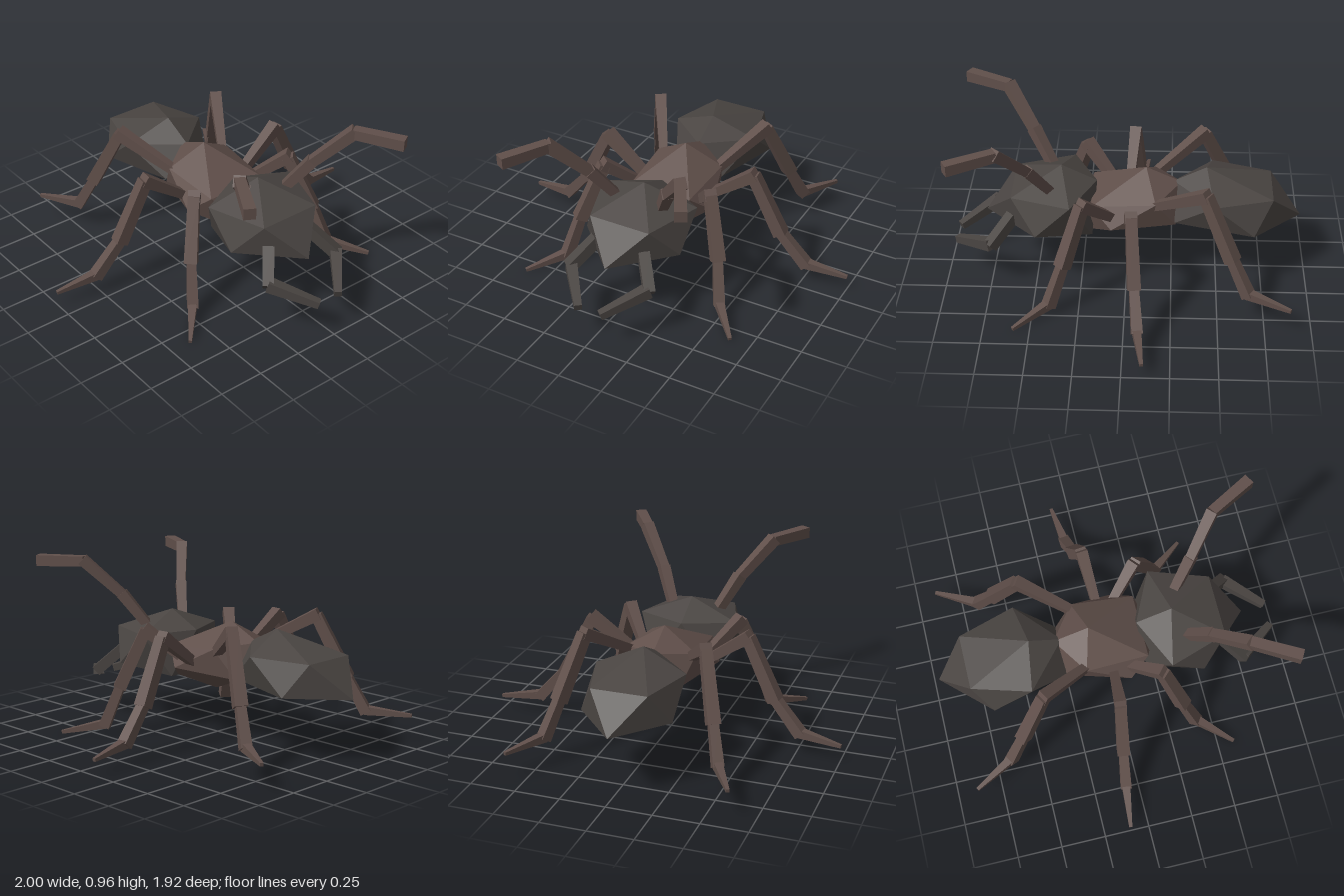
import * as THREE from 'three';
import { ConvexGeometry } from 'three/addons/geometries/ConvexGeometry.js';

const V = (p) => new THREE.Vector3(...p);
const dark = new THREE.MeshStandardMaterial({ color: 0x4a4542, flatShading: true });
const brown = new THREE.MeshStandardMaterial({ color: 0x604f4a, flatShading: true });

// Faceted body lump: points with x > 0 are mirrored to the other side
function lump(name, points, material) {
  const all = [];
  for (const [x, y, z] of points) {
    all.push(V([x, y, z]));
    if (x > 0) all.push(V([-x, y, z]));
  }
  const mesh = new THREE.Mesh(new ConvexGeometry(all), material);
  mesh.name = name;
  return mesh;
}

// Tapered square bar from a to b, with widths wa and wb
function bar(name, a, b, wa, wb, material) {
  const length = a.distanceTo(b);
  const geometry = new THREE.CylinderGeometry(wb * Math.SQRT1_2, wa * Math.SQRT1_2, length, 4);
  geometry.rotateY(Math.PI / 4).rotateX(Math.PI / 2);
  const mesh = new THREE.Mesh(geometry, material);
  mesh.name = name;
  mesh.quaternion.setFromRotationMatrix(new THREE.Matrix4().lookAt(b, a, new THREE.Vector3(0, 1, 0)));
  mesh.position.lerpVectors(a, b, 0.5);
  return mesh;
}

// Chain of bars through joints; widths holds [start, end] for each bar
function limb(name, side, joints, widths, parts, material) {
  const group = new THREE.Group();
  group.name = name;
  const pts = joints.map(([x, y, z]) => V([x * side, y, z]));
  widths.forEach(([wa, wb], i) => {
    const dir = pts[i + 1].clone().sub(pts[i]).normalize();
    const overlap = i < widths.length - 1 ? 0.015 : 0;
    const end = pts[i + 1].clone().addScaledVector(dir, overlap);
    group.add(bar(parts[i], pts[i], end, wa, wb, material));
  });
  return group;
}

export function createModel() {
  const ant = new THREE.Group();
  ant.name = 'ant';

  // Body: three stretched icosahedra (top, upper ring, lower ring, bottom)
  ant.add(lump('head', [
    [0, 0.655, 0.36],
    [0, 0.56, 0.165], [0.285, 0.55, 0.3], [0.176, 0.545, 0.625],
    [0, 0.362, 0.78], [0.285, 0.365, 0.49], [0.176, 0.32, 0.185],
    [0, 0.29, 0.38],
  ], dark));
  ant.add(lump('thorax', [
    [0, 0.65, -0.105],
    [0, 0.56, -0.3], [0.2, 0.53, -0.16], [0.18, 0.5, 0.19],
    [0, 0.34, 0.27], [0.255, 0.4, 0.08], [0.14, 0.37, -0.27], [0.12, 0.32, 0.19],
    [0, 0.255, 0.01],
  ], brown));
  ant.add(lump('abdomen', [
    [0, 0.655, -0.435],
    [0, 0.565, -0.255], [0.25, 0.55, -0.475], [0.155, 0.545, -0.795],
    [0, 0.362, -0.958], [0.25, 0.37, -0.695], [0.147, 0.385, -0.265],
    [0, 0.31, -0.51],
  ], dark));

  // Legs: hip, knee, shin joint, ankle, toe
  const legs = {
    FrontLeg: [[0.17, 0.42, 0.05], [0.325, 0.6, 0.23], [0.425, 0.29, 0.33], [0.475, 0.065, 0.405], [0.635, 0.012, 0.592]],
    MiddleLeg: [[0.18, 0.42, -0.01], [0.45, 0.615, -0.035], [0.61, 0.29, -0.055], [0.76, 0.115, -0.075], [0.998, 0.085, -0.105]],
    RearLeg: [[0.16, 0.5, -0.14], [0.335, 0.68, -0.425], [0.425, 0.35, -0.57], [0.48, 0.16, -0.66], [0.605, 0.145, -0.885]],
  };
  const legWidths = [[0.045, 0.065], [0.06, 0.07], [0.05, 0.06], [0.048, 0.018]];
  const legParts = ['thigh', 'shin', 'lowerShin', 'foot'];

  // Antennae: base, joint, elbow, tip
  const antenna = [[0.13, 0.56, 0.41], [0.225, 0.74, 0.52], [0.38, 0.935, 0.67], [0.515, 0.93, 0.912]];
  const antennaWidths = [[0.05, 0.06], [0.052, 0.062], [0.056, 0.062]];

  // Mandibles: base, elbow, tip
  const mandible = [[0.14, 0.41, 0.62], [0.235, 0.28, 0.735], [0.065, 0.2, 0.945]];
  const mandibleWidths = [[0.06, 0.06], [0.062, 0.04]];

  for (const side of [1, -1]) {
    const prefix = side > 0 ? 'left' : 'right';
    for (const [name, joints] of Object.entries(legs)) {
      ant.add(limb(prefix + name, side, joints, legWidths, legParts, brown));
    }
    ant.add(limb(prefix + 'Antenna', side, antenna, antennaWidths,
      ['antennaBase', 'antennaStalk', 'antennaTip'], brown));
    ant.add(limb(prefix + 'Mandible', side, mandible, mandibleWidths,
      ['mandibleBase', 'mandibleTip'], dark));
  }
  return ant;
}
